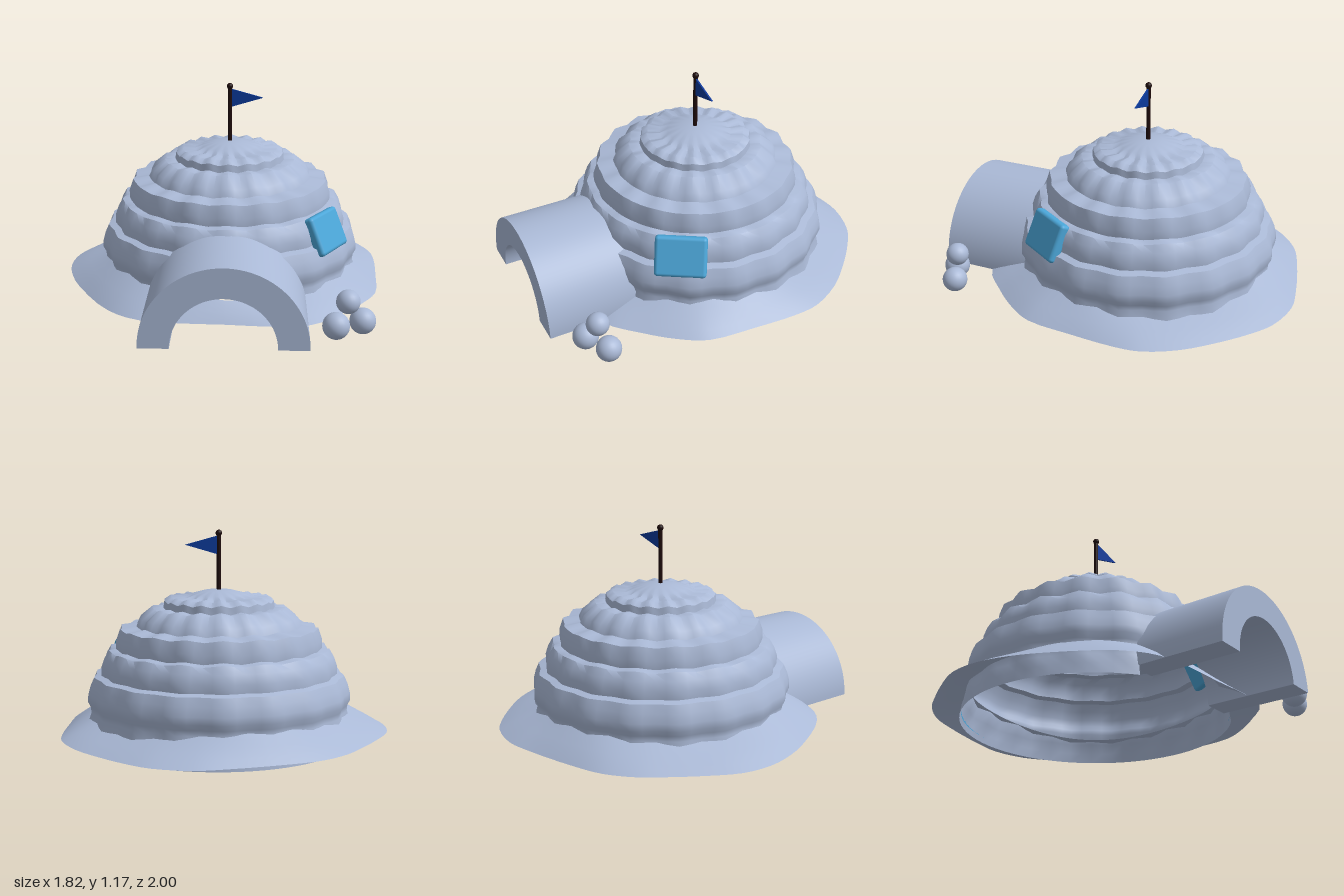
import * as THREE from 'three';
import { toCreasedNormals } from 'three/addons/utils/BufferGeometryUtils.js';
import { RoundedBoxGeometry } from 'three/addons/geometries/RoundedBoxGeometry.js';

const CX = 0.035, CZ = -0.09; // dome axis
const BASE = 0.055;           // snow level

const snow = new THREE.MeshStandardMaterial({ color: 0xaab9d6, side: THREE.DoubleSide });
snow.name = 'snow';
const ice = new THREE.MeshStandardMaterial({ color: 0x4ba6d8, side: THREE.DoubleSide });
ice.name = 'ice';
const darkWood = new THREE.MeshStandardMaterial({ color: 0x1e0b0b });
darkWood.name = 'darkWood';
const flagBlue = new THREE.MeshStandardMaterial({ color: 0x0b3a9c, side: THREE.DoubleSide });
flagBlue.name = 'flagBlue';

function add(parent, name, geometry, material, x = 0, y = 0, z = 0) {
  const mesh = new THREE.Mesh(geometry, material);
  mesh.name = name;
  mesh.position.set(x, y, z);
  parent.add(mesh);
  return mesh;
}

// Stepped courses of snow blocks, gently scalloped, with a doorway cut out
function domeGeometry() {
  const profile = [
    [0.75, 0], [0.742, 0.055], [0.732, 0.11], [0.712, 0.17], [0.715, 0.2], [0.73, 0.23], [0.728, 0.27],
    [0.715, 0.32], [0.695, 0.365], [0.655, 0.375], [0.655, 0.42], [0.638, 0.47], [0.612, 0.508],
    [0.572, 0.515], [0.572, 0.56], [0.55, 0.625], [0.46, 0.638], [0.44, 0.68], [0.37, 0.737],
    [0.31, 0.737], [0.305, 0.775], [0.27, 0.798], [0.2, 0.795], [0.155, 0.815], [0.08, 0.835], [0, 0.84],
  ].map(([r, y]) => new THREE.Vector2(r, y));
  const geo = new THREE.LatheGeometry(profile, 72);
  const p = geo.attributes.position;
  for (let i = 0; i < p.count; i++) {
    const x = p.getX(i), y = p.getY(i), z = p.getZ(i);
    if (y < 0.1 || Math.hypot(x, z) < 0.16) continue;
    const wave = Math.cos(18 * Math.atan2(x, z));
    const k = 1 + 0.013 * wave;
    p.setXYZ(i, x * k, y + (y > 0.5 ? 0.007 * wave : 0), z * k);
  }
  // Drop the triangles inside the doorway
  const kept = [], idx = geo.index.array;
  for (let i = 0; i < idx.length; i += 3) {
    const c = new THREE.Vector3(), v = new THREE.Vector3();
    for (let j = 0; j < 3; j++) c.add(v.fromBufferAttribute(p, idx[i + j]));
    c.divideScalar(3);
    const inDoor = c.y < 0.055 ? Math.abs(c.x) < 0.42 : Math.hypot(c.x, c.y - BASE) < 0.38;
    if (!(c.z > 0 && inDoor)) kept.push(idx[i], idx[i + 1], idx[i + 2]);
  }
  geo.setIndex(kept);
  return toCreasedNormals(geo, 0.75);
}

// Irregular bank of snow sloping from the wall to the ground
function snowBankGeometry() {
  const outline = new THREE.CatmullRomCurve3([
    [0.03, 0.71], [0.46, 0.71], [0.64, 0.56], [0.78, 0.4], [0.86, 0.26], [0.89, 0], [0.905, -0.26],
    [0.89, -0.4], [0.8, -0.58], [0.67, -0.73], [0.53, -0.86], [0.4, -0.95], [0.2, -1], [0.03, -0.98],
    [-0.3, -0.9], [-0.46, -0.84], [-0.6, -0.73], [-0.7, -0.6], [-0.8, -0.45], [-0.89, -0.28],
    [-0.91, -0.1], [-0.87, 0.08], [-0.79, 0.26], [-0.6, 0.55], [-0.42, 0.67],
  ].map(([x, z]) => new THREE.Vector3(x, 0, z)), true);
  const N = 75, rows = 4, pos = [], index = [];
  for (let i = 0; i < N; i++) {
    const o = outline.getPoint(i / N);
    const a = Math.atan2(o.x - CX, o.z - CZ);
    const top = 0.165 + 0.02 * Math.cos(3 * a - 3.7) - 0.015 * Math.sin(a);
    for (let j = 0; j <= rows; j++) {
      const t = j / rows;
      pos.push(
        THREE.MathUtils.lerp(o.x, CX + 0.7 * Math.sin(a), t),
        BASE + (top - BASE) * Math.pow(t, 0.9),
        THREE.MathUtils.lerp(o.z, CZ + 0.7 * Math.cos(a), t));
      if (j < rows) {
        const q = i * (rows + 1) + j, n = ((i + 1) % N) * (rows + 1) + j;
        index.push(q, n, q + 1, n, n + 1, q + 1);
      }
    }
  }
  const geo = new THREE.BufferGeometry();
  geo.setAttribute('position', new THREE.Float32BufferAttribute(pos, 3));
  geo.setIndex(index);
  geo.computeVertexNormals();
  return geo;
}

// Half-round entrance passage
function tunnelGeometry() {
  const s = new THREE.Shape();
  s.absarc(0, 0, 0.43, 0, Math.PI, false);
  s.lineTo(-0.27, 0);
  s.absarc(0, 0, 0.27, Math.PI, 0, true);
  s.closePath();
  const geo = new THREE.ExtrudeGeometry(s, { depth: 0.52, bevelEnabled: false, curveSegments: 24 });
  return toCreasedNormals(geo, 0.6);
}

export function createModel() {
  const model = new THREE.Group();
  model.name = 'igloo';

  add(model, 'dome', domeGeometry(), snow, CX, 0, CZ);
  add(model, 'snowBank', snowBankGeometry(), snow);
  add(model, 'entranceTunnel', tunnelGeometry(), snow, CX, BASE, 0.48);

  // Thin band of ice at the foot of the wall, open at the doorway
  const band = new THREE.CylinderGeometry(0.744, 0.744, 0.018, 72, 1, true, 0.62, Math.PI * 2 - 1.24);
  add(model, 'iceBand', band, ice, CX + 0.004, 0.042, CZ - 0.002);

  // Ice window leaning with the wall
  const pane = add(model, 'iceWindow', new RoundedBoxGeometry(0.28, 0.22, 0.06, 3, 0.02), ice, 0.573, 0.422, 0.28);
  pane.rotation.set(-0.43, THREE.MathUtils.degToRad(58), 0, 'YXZ');

  // Flag
  const flag = new THREE.Group();
  flag.name = 'flag';
  flag.position.set(CX, 0, CZ);
  model.add(flag);
  add(flag, 'flagPole', new THREE.CylinderGeometry(0.012, 0.012, 0.34, 12), darkWood, 0, 0.98, 0);
  add(flag, 'poleKnob', new THREE.SphereGeometry(0.018, 16, 12), darkWood, 0, 1.153, 0);
  const pennant = new THREE.Shape([
    new THREE.Vector2(0.008, 1.035), new THREE.Vector2(0.188, 1.088), new THREE.Vector2(0.008, 1.138),
  ]);
  add(flag, 'pennant', new THREE.ExtrudeGeometry(pennant, { depth: 0.009, bevelEnabled: false }), flagBlue, 0, 0, -0.0045);

  // Pile of snowballs
  const balls = new THREE.Group();
  balls.name = 'snowballs';
  model.add(balls);
  for (const [x, y, z, r] of [[0.598, 0.124, 0.852, 0.07], [0.738, 0.122, 0.782, 0.068], [0.659, 0.236, 0.805, 0.062]]) {
    add(balls, 'snowball', new THREE.SphereGeometry(r, 24, 16), snow, x, y, z);
  }
  return model;
}
